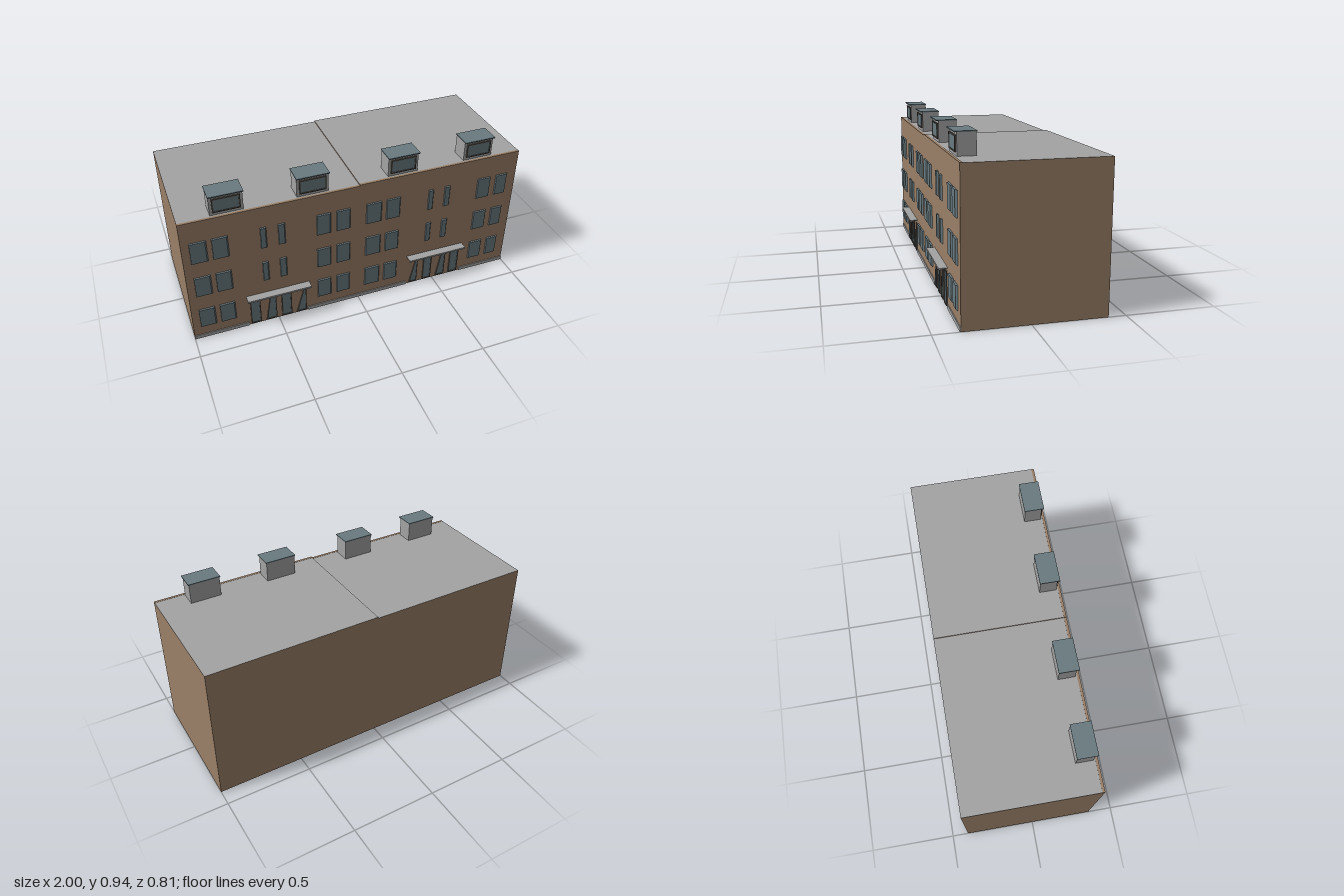
import * as THREE from 'three';

const mat = (name, color) => Object.assign(new THREE.MeshStandardMaterial({ color, flatShading: true }), { name });

export function createModel() {
  const brick = mat('brick', 0x9a7f67);
  const concrete = mat('concrete', 0xa3a3a3);
  const glass = mat('glass', 0x697a80);
  const frame = mat('dark frame', 0x55504a);
  const group = new THREE.Group();
  group.name = 'building';
  const WALL = 0.357, BACK = -0.405;

  const add = (name, geometry, material, parent = group) => {
    const mesh = new THREE.Mesh(geometry, material);
    mesh.name = name;
    parent.add(mesh);
    return mesh;
  };

  // Box given by its limits on each axis
  const box = (name, x0, x1, y0, y1, z0, z1, material, parent) => {
    const g = new THREE.BoxGeometry(x1 - x0, y1 - y0, z1 - z0);
    g.translate((x0 + x1) / 2, (y0 + y1) / 2, (z0 + z1) / 2);
    return add(name, g, material, parent);
  };

  // Flat outline in x, y pushed forward from z, with an optional hole
  const plate = (name, points, z, depth, material, hole, parent) => {
    const shape = new THREE.Shape(points.map(p => new THREE.Vector2(...p)));
    if (hole) shape.holes.push(new THREE.Path(hole.map(p => new THREE.Vector2(...p))));
    const g = new THREE.ExtrudeGeometry(shape, { depth, bevelEnabled: false });
    g.translate(0, 0, z);
    return add(name, g, material, parent);
  };
  const rect = (x0, x1, y0, y1) => [[x0, y0], [x1, y0], [x1, y1], [x0, y1]];

  // Two adjoining halves, the left one slightly taller
  const walls = [brick, brick, concrete, brick, brick, brick];
  for (const [side, x0, x1, h] of [['right', -1, 0, 0.815], ['left', 0, 1, 0.822]]) {
    box(side + 'Block', x0, x1, 0, h, BACK, WALL, walls);
    box(side + 'RoofEdge', x0, x1, h - 0.004, h + 0.001, 0.343, WALL + 0.0005, brick);
  }

  // Plinth strips beside the entrances
  for (const [x0, x1] of [[-1, -0.68], [-0.32, 0.32], [0.69, 1]])
    box('plinth', x0, x1, 0, 0.024, WALL, 0.362, concrete);

  // Windows: shallow blocks whose right and lower sides splay to the wall
  const window3d = (x0, x1, y0, y1) => {
    const g = new THREE.BoxGeometry(x1 - x0, y1 - y0, 0.011);
    g.translate((x0 + x1) / 2, (y0 + y1) / 2, WALL + 0.0055);
    const p = g.attributes.position;
    for (let i = 0; i < p.count; i++) {
      if (p.getZ(i) < WALL + 0.005) continue;
      if (p.getX(i) > (x0 + x1) / 2) p.setX(i, x1 - 0.008);
      if (p.getY(i) < (y0 + y1) / 2) p.setY(i, y0 + 0.007);
    }
    g.computeVertexNormals();
    add('window', g, glass);
  };
  const wide = [[-0.957, -0.865], [-0.838, -0.75], [-0.255, -0.172], [-0.138, -0.055],
    [0.04, 0.135], [0.164, 0.25], [0.745, 0.832], [0.866, 0.942]];
  const narrow = [[-0.575, -0.54], [-0.475, -0.435], [0.427, 0.46], [0.53, 0.567]];
  [[0.083, 0.213], [0.312, 0.446], [0.545, 0.684]].forEach(([y0, y1], row) => {
    for (const [x0, x1] of row ? [...wide, ...narrow] : wide) window3d(x0, x1, y0, y1);
  });

  // Entrance panes: upright or leaning outlines, bottom and top limits in x
  const panes = [
    [-0.667, -0.607, -0.665, -0.607], [-0.575, -0.512, -0.543, -0.512],
    [-0.48, -0.42, -0.48, -0.42], [-0.39, -0.33, -0.336, -0.33],
    [0.34, 0.39, 0.382, 0.39], [0.432, 0.487, 0.432, 0.487],
    [0.523, 0.58, 0.555, 0.58], [0.613, 0.672, 0.613, 0.672],
  ];
  for (const [b0, b1, t0, t1] of panes) {
    const outer = [[b0, 0.008], [b1, 0.008], [t1, 0.2], [t0, 0.2]];
    const cx = (b0 + b1 + t0 + t1) / 4, k = 0.8;
    const inner = outer.map(([x, y]) => [cx + (x - cx) * k, 0.104 + (y - 0.104) * 0.92]);
    plate('doorFrame', outer, WALL, 0.007, frame, inner);
    plate('doorGlass', inner, WALL, 0.004, glass);
  }

  // Wedge-shaped canopies, thicker at the outer edge
  for (const [x0, x1] of [[-0.685, -0.308], [0.315, 0.69]]) {
    const canopy = box('canopy', x0, x1, 0.211, 0.222, WALL, 0.405, concrete);
    const p = canopy.geometry.attributes.position;
    for (let i = 0; i < p.count; i++)
      if (p.getZ(i) < 0.38 && p.getY(i) < 0.215) p.setY(i, 0.219);
    canopy.geometry.computeVertexNormals();
  }

  // Roof dormers
  for (const [cx, h] of [[-0.735, 0.815], [-0.265, 0.815], [0.265, 0.822], [0.735, 0.822]]) {
    const dormer = new THREE.Group();
    dormer.name = 'dormer';
    dormer.position.set(cx, h, 0);
    group.add(dormer);
    box('dormerWalls', -0.09, 0.09, 0, 0.117, 0.235, 0.333, concrete, dormer);
    box('dormerRoof', -0.094, 0.094, 0.117, 0.123, 0.232, 0.347, glass, dormer);
    plate('dormerFrame', rect(-0.075, 0.075, 0.018, 0.102), 0.333, 0.008, frame,
      rect(-0.068, 0.068, 0.025, 0.095), dormer);
    plate('dormerGlass', rect(-0.068, 0.068, 0.025, 0.095), 0.333, 0.005, glass, null, dormer);
  }
  return group;
}
